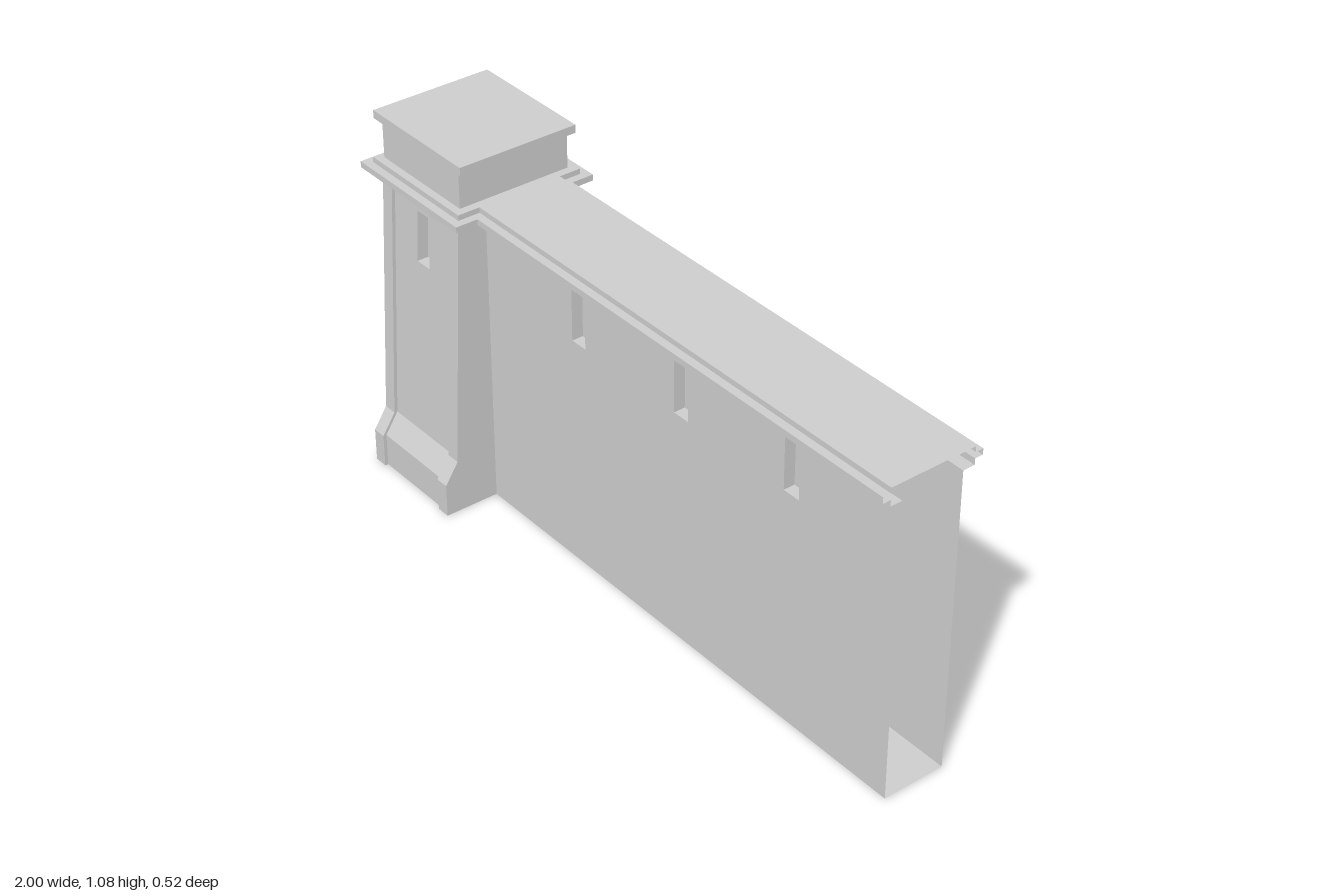
import * as THREE from 'three';

const stone = new THREE.MeshStandardMaterial({ color: 0xcccccc, side: THREE.DoubleSide });
stone.name = 'stone';

// Main dimensions
const XL = -0.955, XR = -0.607, XEND = 1;      // tower left/right, open wall end
const WALL_Z = 0.094, TOP = 0.893;
const PILASTER = 0.042, INSET = 0.01;
const SLOT = { w: 0.055, y0: 0.695, y1: 0.848, depth: 0.034 };
const PROFILE = [[0, 0.26], [0.1, 0.26], [0.163, 0.219], [TOP, 0.182]]; // [y, z]

// Collects four-cornered faces (counter-clockwise from outside) into one flat mesh
class Surface {
  constructor() { this.p = []; }
  quad(a, b, c, d, flip = false) {
    const q = flip ? [d, c, b, a] : [a, b, c, d];
    for (const i of [0, 1, 2, 0, 2, 3]) this.p.push(...q[i]);
  }
  mesh(name) {
    const g = new THREE.BufferGeometry();
    g.setAttribute('position', new THREE.Float32BufferAttribute(this.p, 3));
    g.computeVertexNormals();
    const m = new THREE.Mesh(g, stone);
    m.name = name;
    return m;
  }
}

// Depth of the battered tower face at height y
function towerZ(y) {
  for (let i = 1; i < PROFILE.length; i++) {
    const [ya, za] = PROFILE[i - 1], [yb, zb] = PROFILE[i];
    if (y <= yb) return za + (zb - za) * (y - ya) / (yb - ya);
  }
  return PROFILE[PROFILE.length - 1][1];
}

// Face in x/y whose depth follows zAt(y); side is +1 for front, -1 for back
function addFace(s, side, x0, x1, y0, y1, zAt) {
  const v = (x, y) => [x, y, side * zAt(y)];
  s.quad(v(x0, y0), v(x1, y0), v(x1, y1), v(x0, y1), side < 0);
}

// The same face pierced by slots at the given x centres
function addSlottedFace(s, side, x0, x1, y0, y1, zAt, centres) {
  addFace(s, side, x0, x1, y0, SLOT.y0, zAt);
  addFace(s, side, x0, x1, SLOT.y1, y1, zAt);
  let x = x0;
  for (const c of centres) {
    addFace(s, side, x, c - SLOT.w / 2, SLOT.y0, SLOT.y1, zAt);
    x = c + SLOT.w / 2;
  }
  addFace(s, side, x, x1, SLOT.y0, SLOT.y1, zAt);
}

// Recess behind each slot: back plus four reveals
function addNiche(s, side, c, zAt) {
  const a = c - SLOT.w / 2, b = c + SLOT.w / 2, { y0, y1, depth } = SLOT;
  const o = (x, y) => [x, y, side * zAt(y)];
  const n = (x, y) => [x, y, side * (zAt(y) - depth)];
  const f = side < 0;
  s.quad(n(a, y0), n(b, y0), n(b, y1), n(a, y1), f);
  s.quad(o(a, y0), n(a, y0), n(a, y1), o(a, y1), f);
  s.quad(n(b, y0), o(b, y0), o(b, y1), n(b, y1), f);
  s.quad(o(a, y0), o(b, y0), n(b, y0), n(a, y0), f);
  s.quad(n(a, y1), n(b, y1), o(b, y1), o(a, y1), f);
}

// Outline of tower and wall together, pushed out by d; open at the wall end
function outline(d) {
  const tz = 0.176 + d, wz = 0.109 + d, l = XL - d, r = -0.603 + d;
  return [[XEND, wz], [r, wz], [r, tz], [l, tz], [l, -tz], [r, -tz], [r, -wz], [XEND, -wz]];
}

function box(name, x0, x1, y0, y1, halfZ) {
  const m = new THREE.Mesh(new THREE.BoxGeometry(x1 - x0, y1 - y0, halfZ * 2), stone);
  m.position.set((x0 + x1) / 2, (y0 + y1) / 2, 0);
  m.name = name;
  return m;
}

export function createModel() {
  const model = new THREE.Group();
  model.name = 'wallWithTower';
  const wall = new Surface(), slots = new Surface(), tower = new Surface();
  const panels = new Surface(), floor = new Surface(), cornice = new Surface();

  const pl = XL + PILASTER, pr = XR - PILASTER;
  const wallZ = () => WALL_Z, panelZ = (y) => towerZ(y) - INSET;
  const wallSlots = [-0.21, 0.207, 0.624], towerSlot = (XL + XR) / 2;

  for (const side of [1, -1]) {
    // Long wall faces
    addSlottedFace(wall, side, XR, XEND, 0, TOP, wallZ, wallSlots);
    for (const c of wallSlots) addNiche(slots, side, c, wallZ);
    addNiche(slots, side, towerSlot, panelZ);

    // Battered tower faces: corner pilasters with a sunken panel between
    for (let i = 1; i < PROFILE.length; i++) {
      const y0 = PROFILE[i - 1][0], y1 = PROFILE[i][0];
      addFace(tower, side, XL, pl, y0, y1, towerZ);
      addFace(tower, side, pr, XR, y0, y1, towerZ);
      if (i === PROFILE.length - 1) addSlottedFace(panels, side, pl, pr, y0, y1, panelZ, [towerSlot]);
      else addFace(panels, side, pl, pr, y0, y1, panelZ);

      // Narrow reveals beside the panel
      for (const [x, flip] of [[pl, false], [pr, true]]) {
        const v = (y, z) => [x, y, side * z];
        tower.quad(v(y0, towerZ(y0)), v(y0, panelZ(y0)), v(y1, panelZ(y1)), v(y1, towerZ(y1)),
          flip !== (side < 0));
      }
    }
    // Undersides of the pilasters
    for (const [a, b] of [[XL, pl], [pr, XR]]) {
      const z0 = side * panelZ(0), z1 = side * towerZ(0);
      floor.quad([a, 0, z0], [b, 0, z0], [b, 0, z1], [a, 0, z1], side < 0);
    }
  }

  // Tower ends
  for (let i = 1; i < PROFILE.length; i++) {
    const [y0, z0] = PROFILE[i - 1], [y1, z1] = PROFILE[i];
    for (const x of [XL, XR])
      tower.quad([x, y0, -z0], [x, y0, z0], [x, y1, z1], [x, y1, -z1], x === XR);
  }

  // Undersides of tower and wall
  for (const [a, b, z] of [[XL, XR, panelZ(0)], [XR, XEND, WALL_Z]])
    floor.quad([a, 0, -z], [b, 0, -z], [b, 0, z], [a, 0, z]);

  // Stepped cornice running round tower and wall
  const steps = [[-0.015, TOP], [0.021, TOP], [0.021, 0.911], [0.045, 0.911],
    [0.045, 0.929], [0.021, 0.929], [0.021, 0.945]];
  for (let i = 1; i < steps.length; i++) {
    const [d0, y0] = steps[i - 1], [d1, y1] = steps[i];
    const lo = outline(d0), hi = outline(d1);
    for (let k = 1; k < lo.length; k++) {
      const v = ([x, z], y) => [x, y, z];
      cornice.quad(v(lo[k], y0), v(lo[k - 1], y0), v(hi[k - 1], y1), v(hi[k], y1));
    }
  }

  // Flat deck over the cornice
  const deckShape = new THREE.Shape(outline(0.021).map(([x, z]) => new THREE.Vector2(x, -z)));
  const deck = new THREE.Mesh(new THREE.ShapeGeometry(deckShape).rotateX(-Math.PI / 2), stone);
  deck.position.y = 0.945;
  deck.name = 'deck';

  model.add(
    wall.mesh('wall'), slots.mesh('slotNiches'), tower.mesh('towerBody'),
    panels.mesh('towerPanels'), floor.mesh('underside'), cornice.mesh('cornice'), deck,
    box('towerHead', XL, XR, 0.945, 1.056, 0.174),
    box('towerCap', -0.979, -0.583, 1.056, 1.08, 0.185),
  );
  return model;
}
